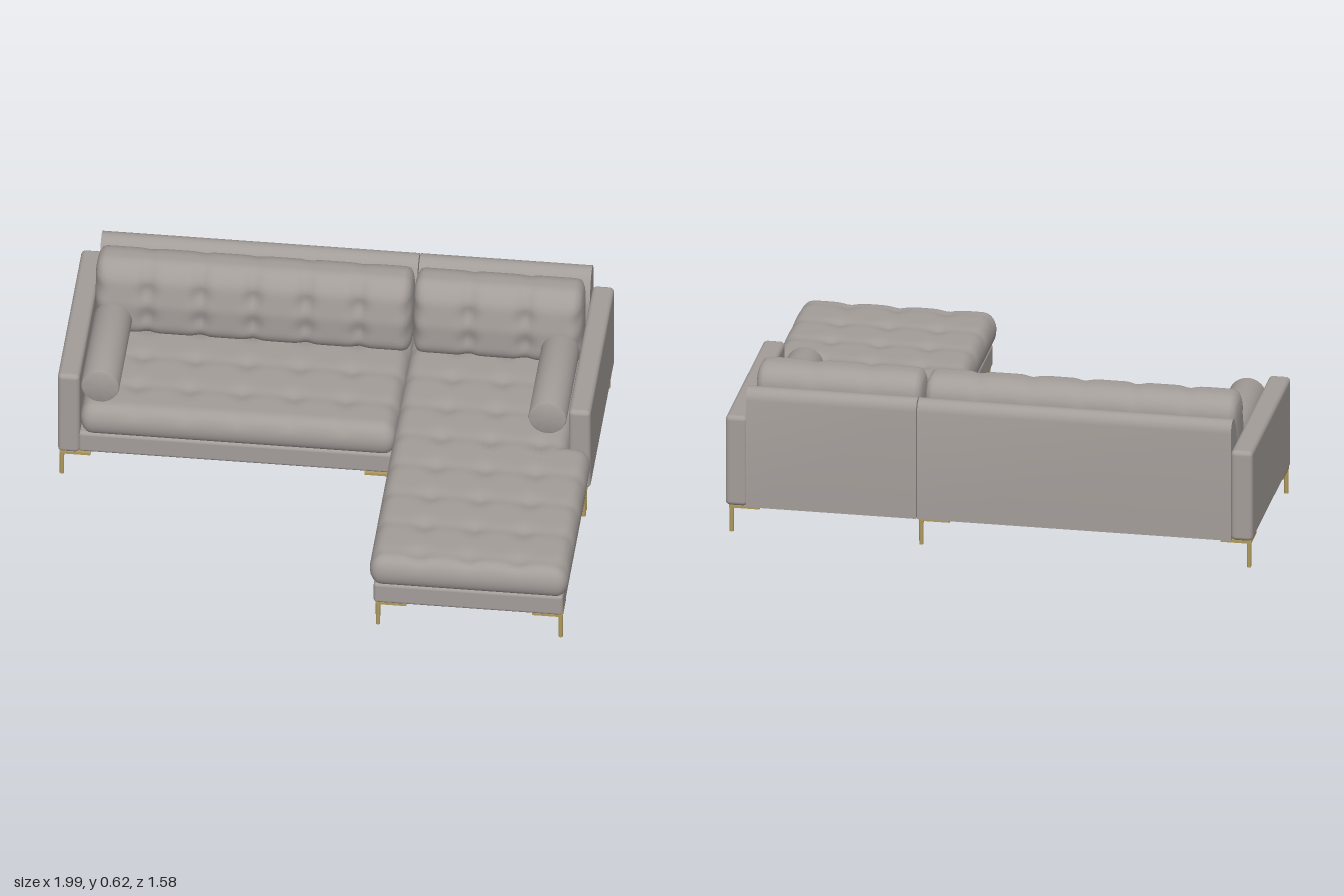
import * as THREE from 'three';
import { mergeVertices, toCreasedNormals } from 'three/addons/utils/BufferGeometryUtils.js';
import { RoundedBoxGeometry } from 'three/addons/geometries/RoundedBoxGeometry.js';

const bump = (d, s) => Math.exp(-(d * d) / (s * s));
// signed distance to the nearest line of a grid with the given start and spacing
const toGrid = (v, start, step) => v - start - Math.round((v - start) / step) * step;

export function createModel() {
  const fabric = new THREE.MeshStandardMaterial({ color: 0xa39d99 });
  fabric.name = 'warm grey fabric';
  const brass = new THREE.MeshStandardMaterial({ color: 0xb09a5e });
  brass.name = 'brass';

  const sofa = new THREE.Group();
  sofa.name = 'cornerSofa';

  const add = (name, geometry, material = fabric) => {
    const mesh = new THREE.Mesh(geometry, material);
    mesh.name = name;
    sofa.add(mesh);
    return mesh;
  };

  // upholstered block given by its min and max on each axis
  const block = (name, [x0, x1], [y0, y1], [z0, z1], radius) => {
    const mesh = add(name, new RoundedBoxGeometry(x1 - x0, y1 - y0, z1 - z0, 4, radius));
    mesh.position.set((x0 + x1) / 2, (y0 + y1) / 2, (z0 + z1) / 2);
  };

  // soft cushion: finely divided box with elliptical edges, then shaped by a rule
  const cushion = (name, [x0, x1], [y0, y1], [z0, z1], radii, shape) => {
    const size = new THREE.Vector3(x1 - x0, y1 - y0, z1 - z0);
    const seg = size.toArray().map((s) => Math.max(8, Math.round(s / 0.016)));
    let g = new THREE.BoxGeometry(size.x, size.y, size.z, ...seg);
    g.deleteAttribute('uv');
    g.deleteAttribute('normal');
    g = mergeVertices(g, 1e-5);
    const r = new THREE.Vector3(...radii);
    const inner = size.clone().multiplyScalar(0.5).sub(r);
    const low = inner.clone().negate();
    const centre = new THREE.Vector3((x0 + x1) / 2, (y0 + y1) / 2, (z0 + z1) / 2);
    const pos = g.attributes.position;
    const p = new THREE.Vector3();
    const c = new THREE.Vector3();
    for (let i = 0; i < pos.count; i++) {
      p.fromBufferAttribute(pos, i);
      c.copy(p).clamp(low, inner);
      p.sub(c).divide(r).normalize().multiply(r).add(c).add(centre);
      shape(p);
      pos.setXYZ(i, p.x, p.y, p.z);
    }
    g.computeVertexNormals();
    add(name, g);
  };

  // seat tufting: buttons on a grid with faint creases between them
  const tuftSeat = (startX, stepX) => (p) => {
    if (p.y < 0.26) return;
    const dx = toGrid(p.x, startX, stepX);
    const dz = toGrid(p.z, -0.17, 0.18);
    const dip = 0.012 * bump(Math.hypot(dx, dz), 0.035) + 0.003 * Math.max(bump(dx, 0.02), bump(dz, 0.02));
    p.y -= dip * Math.min(1, (p.y - 0.26) / 0.06);
  };

  // back tufting: scalloped columns, two rows of buttons and a leaning front
  const tuftBack = (startX, stepX) => (p) => {
    const front = THREE.MathUtils.clamp((p.z + 0.6) / 0.12, 0, 1);
    const dx = toGrid(p.x, startX, stepX);
    const crease = bump(dx, 0.025);
    const buttons = bump(Math.hypot(dx, p.y - 0.4), 0.035) + bump(Math.hypot(dx, p.y - 0.51), 0.035);
    const lean = 0.03 * Math.max(0, (p.y - 0.46) / 0.15);
    p.z -= front * (0.014 * crease + 0.014 * buttons + lean);
    if (p.y > 0.55) p.y -= 0.005 * crease;
  };

  // arms
  block('rightArm', [-1, -0.918], [0.105, 0.463], [-0.79, -0.01], 0.018);
  block('leftArm', [0.905, 0.987], [0.105, 0.463], [-0.79, -0.01], 0.018);

  // seat bases
  block('seatBase', [-0.925, 0.262], [0.105, 0.195], [-0.72, -0.02], 0.014);
  block('chaiseInnerBase', [0.268, 0.91], [0.105, 0.195], [-0.72, 0.06], 0.014);
  block('chaiseBase', [0.268, 0.975], [0.105, 0.195], [0.002, 0.768], 0.014);

  // backrest: rounded profile drawn with depth reversed, swept across the width
  const profile = new THREE.Shape();
  profile.moveTo(0.79, 0.105);
  profile.lineTo(0.79, 0.53);
  profile.bezierCurveTo(0.785, 0.58, 0.735, 0.585, 0.708, 0.55);
  profile.quadraticCurveTo(0.68, 0.51, 0.668, 0.455);
  profile.lineTo(0.668, 0.105);
  for (const [name, x0, x1] of [['rightBackrest', -0.92, 0.263], ['leftBackrest', 0.267, 0.908]]) {
    const g = new THREE.ExtrudeGeometry(profile, { depth: x1 - x0, bevelEnabled: false, curveSegments: 10 });
    g.rotateY(Math.PI / 2);
    add(name, toCreasedNormals(g, 0.6)).position.x = x0;
  }

  // seat cushions; the two chaise pieces overlap into one L-shaped cushion
  const seatY = [0.186, 0.323];
  const seatR = [0.045, 0.0685, 0.05];
  cushion('seatCushion', [-0.918, 0.26], seatY, [-0.68, 0], seatR, tuftSeat(-0.72, 0.195));
  cushion('chaiseInnerCushion', [0.252, 0.908], seatY, [-0.68, 0.14], seatR, tuftSeat(0.435, 0.185));
  cushion('chaiseCushion', [0.252, 0.993], seatY, [-0.005, 0.79], seatR, tuftSeat(0.435, 0.185));

  // back cushions
  const backY = [0.3, 0.616];
  const backZ = [-0.675, -0.465];
  const backR = [0.025, 0.075, 0.085];
  cushion('rightBackCushion', [-0.92, 0.264], backY, backZ, backR, tuftBack(-0.72, 0.197));
  cushion('leftBackCushion', [0.266, 0.9], backY, backZ, backR, tuftBack(0.477, 0.211));

  // bolsters lying along the arms
  const roll = [[0, -0.215], [0.062, -0.215], [0.069, -0.212], [0.071, -0.205],
    [0.071, 0.205], [0.069, 0.212], [0.062, 0.215], [0, 0.215]].map(([x, y]) => new THREE.Vector2(x, y));
  for (const [name, x] of [['rightBolster', -0.846], ['leftBolster', 0.822]]) {
    const g = toCreasedNormals(new THREE.LatheGeometry(roll, 40), 0.6);
    g.rotateX(Math.PI / 2);
    add(name, g).position.set(x, 0.391, -0.265);
  }

  // slim legs with square mounting plates that reach inwards (sx, sz)
  const legs = [
    [-0.985, -0.025, 1, -1], [-0.985, -0.772, 1, 1], [0.25, -0.025, -1, -1], [0.25, -0.772, -1, 1],
    [0.284, 0.012, 1, 1], [0.284, 0.752, 1, -1], [0.965, 0.012, -1, 1], [0.965, 0.752, -1, -1],
    [0.965, -0.025, -1, -1], [0.965, -0.772, -1, 1],
  ];
  for (const [x, z, sx, sz] of legs) {
    add('leg', new THREE.CylinderGeometry(0.009, 0.008, 0.102, 12), brass).position.set(x, 0.051, z);
    add('legPlate', new THREE.BoxGeometry(0.115, 0.01, 0.115), brass)
      .position.set(x + sx * 0.049, 0.1, z + sz * 0.049);
  }

  // narrow seams under the back
  for (const z of [-0.66, -0.635]) {
    add('undersideSeam', new THREE.BoxGeometry(1.6, 0.004, 0.006)).position.set(0.03, 0.104, z);
  }

  return sofa;
}
